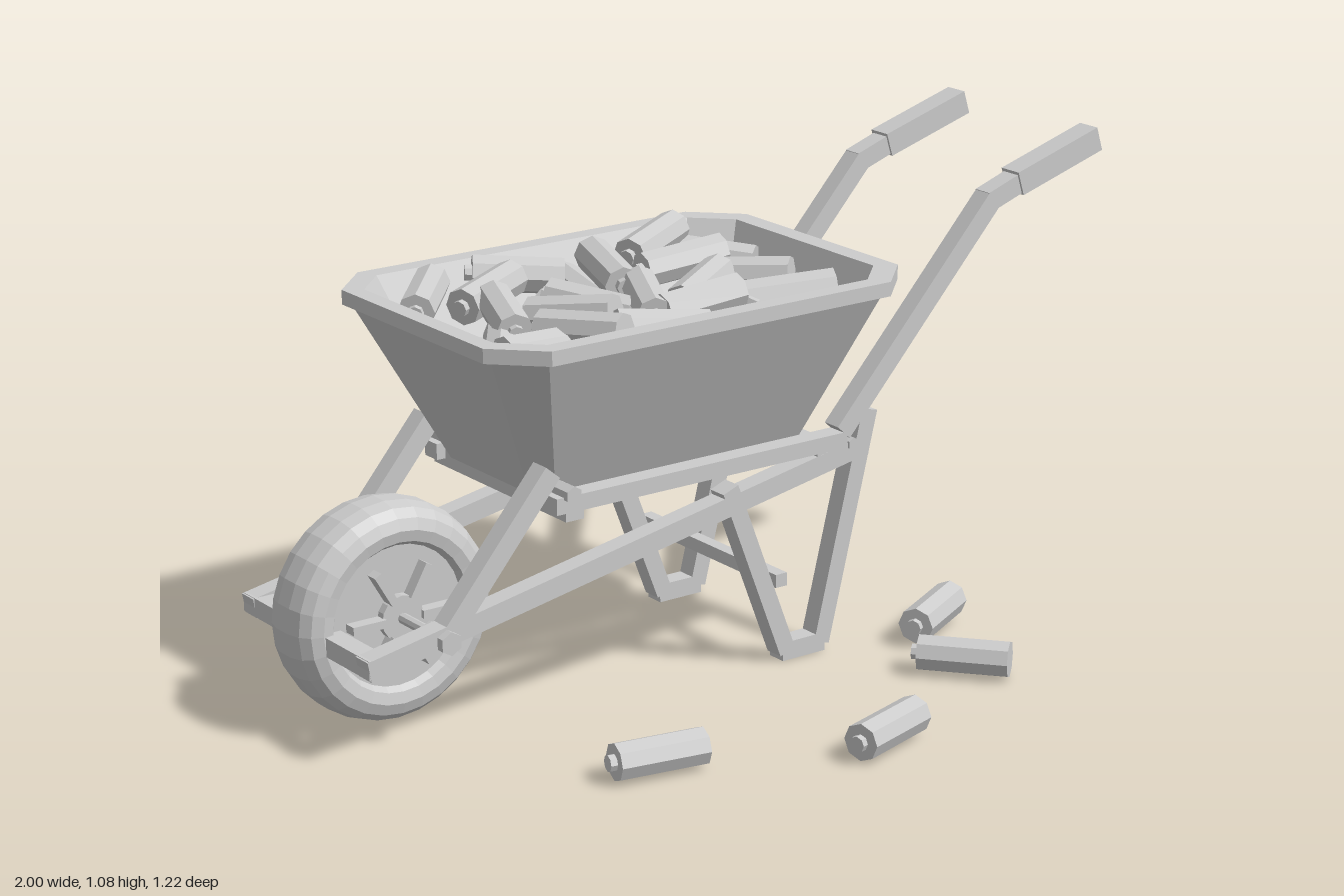
import * as THREE from 'three';

const grey = new THREE.MeshStandardMaterial({ color: 0xcccccc, flatShading: true });
grey.name = 'plain grey';
const MID = -0.235, SIDE = 0.231; // centre line and half track of the barrow

export function createModel() {
  const root = new THREE.Group();
  const add = (name, geo, x = 0, y = 0, z = 0, parent = root) => {
    const m = new THREE.Mesh(geo, grey);
    m.name = name;
    m.position.set(x, y, z);
    parent.add(m);
    return m;
  };
  // square bar between two points in the xy plane
  const bar = (name, x0, y0, x1, y1, z, t = 0.045, w = 0.047) => {
    const dx = x1 - x0, dy = y1 - y0;
    const m = add(name, new THREE.BoxGeometry(Math.hypot(dx, dy), t, w), (x0 + x1) / 2, (y0 + y1) / 2, z);
    m.rotation.z = Math.atan2(dy, dx);
  };
  const rod = (r, len, sides) => new THREE.CylinderGeometry(r, r, len, sides).rotateX(Math.PI / 2);

  // tray: octagonal rings from the outer floor, over the rim, to the inner floor
  const ring = (y, x0, x1, half, c) => {
    const a = MID - half, b = MID + half;
    return [[x1, a + c], [x1, b - c], [x1 - c, b], [x0 + c, b], [x0, b - c], [x0, a + c], [x0 + c, a], [x1 - c, a]]
      .map(([x, z]) => [x, y, z]);
  };
  const rings = [
    ring(0.48, -0.485, 0.23, 0.19, 0.04),
    ring(0.825, -0.65, 0.375, 0.355, 0.085),
    ring(0.825, -0.67, 0.4, 0.373, 0.1),
    ring(0.857, -0.67, 0.4, 0.373, 0.1),
    ring(0.857, -0.63, 0.352, 0.328, 0.08),
    ring(0.495, -0.47, 0.215, 0.175, 0.035),
  ];
  const pos = [];
  for (let k = 0; k < rings.length - 1; k++) {
    for (let i = 0; i < 8; i++) {
      const j = (i + 1) % 8, a = rings[k], b = rings[k + 1];
      pos.push(...a[i], ...b[j], ...a[j], ...a[i], ...b[i], ...b[j]);
    }
  }
  const last = rings[rings.length - 1];
  for (let i = 1; i < 7; i++) {
    pos.push(...rings[0][0], ...rings[0][i], ...rings[0][i + 1]);
    pos.push(...last[0], ...last[i + 1], ...last[i]);
  }
  const trayGeo = new THREE.BufferGeometry();
  trayGeo.setAttribute('position', new THREE.Float32BufferAttribute(pos, 3));
  trayGeo.computeVertexNormals();
  add('tray', trayGeo);

  // mirrored side frames
  for (const s of [-1, 1]) {
    const z = MID + s * SIDE;
    bar('mainBeam', -0.945, 0.219, 0.335, 0.456, z);
    bar('frontStrut', -0.77, 0.23, -0.493, 0.555, z);
    bar('trayRail', -0.485, 0.477, 0.28, 0.477, z, 0.036);
    bar('handle', 0.27, 0.495, 0.69, 0.955, z);
    bar('handleNeck', 0.68, 0.95, 0.78, 0.985, z, 0.045);
    bar('grip', 0.76, 0.98, 0.99, 1.05, z, 0.056, 0.058);
    bar('frontLeg', -0.037, 0.425, 0.118, 0.02, z, 0.042);
    bar('foot', 0.105, 0.021, 0.22, 0.021, z, 0.042);
    bar('rearLeg', 0.212, 0.02, 0.342, 0.535, z, 0.042);
    add('axleBolt', rod(0.026, 0.085, 6), -0.76, 0.245, z);
    add('strutBolt', rod(0.02, 0.075, 6), -0.45, 0.5, z);
    add('rearBolt', rod(0.015, 0.055, 6), 0.295, 0.465, z);
  }
  // cross members
  for (const [name, x, y, w, h] of [
    ['frontCrossBar', -0.922, 0.222, 0.047, 0.042],
    ['trayFrontSupport', -0.44, 0.46, 0.045, 0.04],
    ['trayRearSupport', 0.22, 0.46, 0.045, 0.04],
    ['legBrace', 0.1, 0.19, 0.03, 0.03],
  ]) add(name, new THREE.BoxGeometry(w, h, SIDE * 2 + 0.046), x, y, MID);

  // wheel
  const wheel = new THREE.Group();
  wheel.name = 'wheel';
  wheel.position.set(-0.76, 0.245, MID);
  root.add(wheel);
  const half = [[0, 0.065], [0.155, 0.065], [0.165, 0.08], [0.19, 0.085], [0.215, 0.076], [0.232, 0.055], [0.24, 0.022]];
  const profile = [
    ...half.map(([r, h]) => new THREE.Vector2(r, -h)),
    ...[...half].reverse().map(([r, h]) => new THREE.Vector2(r, h)),
  ];
  add('tyre', new THREE.LatheGeometry(profile, 28).rotateX(Math.PI / 2), 0, 0, 0, wheel);
  add('hub', rod(0.05, 0.17, 16), 0, 0, 0, wheel);
  add('axle', rod(0.012, 0.44, 8), 0, 0, 0, wheel);
  for (let i = 0; i < 6; i++) {
    const a = (i * Math.PI) / 3;
    const rib = add('spoke', new THREE.BoxGeometry(0.08, 0.018, 0.19), 0.085 * Math.cos(a), 0.085 * Math.sin(a), 0, wheel);
    rib.rotation.z = a;
  }

  // eight-sided cells with a small end stud
  const bodyGeo = new THREE.CylinderGeometry(0.041, 0.041, 0.2, 8).rotateZ(Math.PI / 2);
  const studGeo = new THREE.CylinderGeometry(0.018, 0.018, 0.016, 8).rotateZ(Math.PI / 2);
  const cell = (x, y, z, yaw, tilt = 0) => {
    const g = new THREE.Group();
    g.name = 'cell';
    g.position.set(x, y, z);
    g.rotation.set(0, (yaw * Math.PI) / 180, (tilt * Math.PI) / 180);
    add('cellBody', bodyGeo, 0, 0, 0, g);
    add('cellStud', studGeo, -0.107, 0, 0, g);
    root.add(g);
  };
  // spilled on the ground
  cell(-0.48, 0.045, 0.37, -10);
  cell(-0.02, 0.045, 0.54, 17);
  cell(0.37, 0.045, 0.32, -50);
  cell(0.48, 0.05, 0.08, 28);
  // top of the heap: x, y, z, yaw, tilt
  for (const c of [
    [-0.49, 0.82, -0.47, 48, 4], [-0.38, 0.83, -0.39, 25, 5], [-0.25, 0.83, -0.47, -30, -4],
    [-0.11, 0.85, -0.33, 75, 6], [0.08, 0.86, -0.43, 25, 6], [0.22, 0.81, -0.4, -50, -5],
    [0.06, 0.85, -0.29, -5, 5], [-0.43, 0.82, -0.25, 70, 6], [-0.31, 0.82, -0.17, -60, 8],
    [-0.22, 0.81, -0.23, -60, -6], [-0.14, 0.83, -0.14, 65, 5], [0.03, 0.82, -0.18, 30, 6],
    [0.17, 0.82, -0.2, -50, 4], [-0.06, 0.83, -0.06, 0, 4], [-0.2, 0.81, 0, -20, -5],
    [-0.38, 0.83, -0.03, -65, 5], [-0.47, 0.8, -0.05, 5, -3], [0.18, 0.81, -0.06, -25, 5],
    [0.22, 0.77, -0.29, -50, 6], [-0.49, 0.78, -0.17, 55, 0], [0.12, 0.77, -0.12, 45, -8],
    [-0.1, 0.77, -0.45, 80, 4], [-0.29, 0.77, -0.32, 40, 6],
  ]) cell(...c);
  // buried cells
  let seed = 7;
  const rnd = (lo, hi) => {
    seed = (seed * 16807) % 2147483647;
    return lo + ((hi - lo) * seed) / 2147483647;
  };
  for (let i = 0; i < 24; i++) cell(rnd(-0.4, 0.13), rnd(0.6, 0.74), rnd(-0.33, -0.14), rnd(-40, 40), rnd(-10, 10));

  return root;
}
